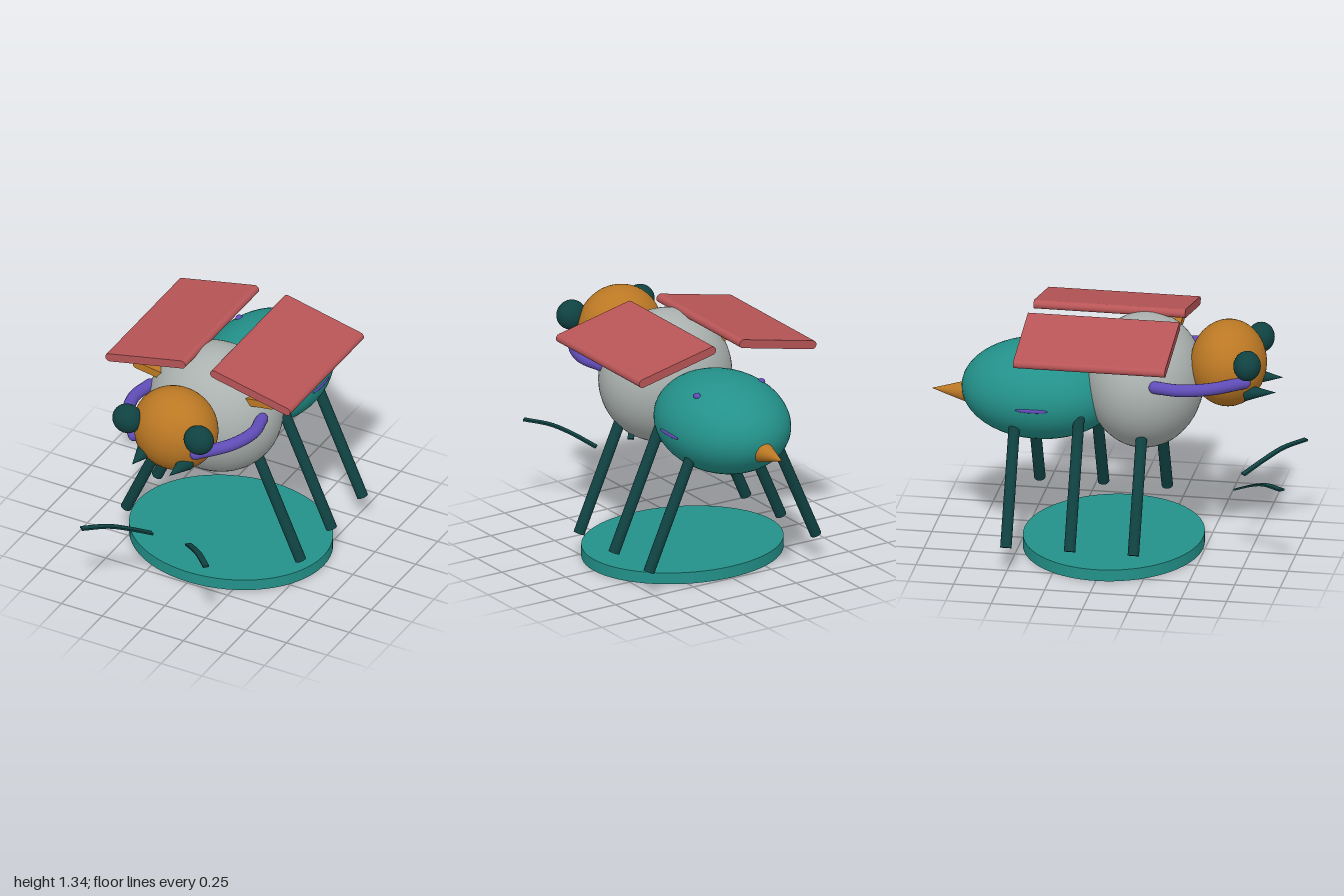
import * as THREE from 'three';

const mat = (name, color) => {
  const m = new THREE.MeshStandardMaterial({ color });
  m.name = name;
  return m;
};

export function createModel() {
  const model = new THREE.Group();
  model.name = 'insect';
  const teal = mat('teal', 0x23918a);
  const dark = mat('darkTeal', 0x104242);
  const orange = mat('orange', 0xbb7824);
  const grey = mat('grey', 0xabb2af);
  const purple = mat('purple', 0x604db8);
  const red = mat('red', 0xb85557);

  const add = (name, geometry, material, pos = [0, 0, 0]) => {
    const mesh = new THREE.Mesh(geometry, material);
    mesh.name = name;
    mesh.position.set(...pos);
    model.add(mesh);
    return mesh;
  };
  const ellipsoid = (name, material, pos, radii, seg = 40) =>
    add(name, new THREE.SphereGeometry(1, seg, seg / 2), material, pos).scale.set(...radii);

  // Cylinder or cone running from a to b
  const rod = (name, material, a, b, ra, rb) => {
    const A = new THREE.Vector3(...a), B = new THREE.Vector3(...b);
    const dir = B.clone().sub(A);
    const mesh = add(name, new THREE.CylinderGeometry(rb, ra, dir.length(), 24), material,
      A.clone().add(B).multiplyScalar(0.5).toArray());
    mesh.quaternion.setFromUnitVectors(new THREE.Vector3(0, 1, 0), dir.normalize());
  };

  // Plate with rounded long edges: a capsule outline from a to b in x/y, extruded over z
  const plate = (name, material, a, b, r, z0, z1) => {
    const angle = Math.atan2(b[1] - a[1], b[0] - a[0]);
    const shape = new THREE.Shape();
    shape.absarc(b[0], b[1], r, angle - Math.PI / 2, angle + Math.PI / 2, false);
    shape.absarc(a[0], a[1], r, angle + Math.PI / 2, angle + Math.PI * 1.5, false);
    shape.closePath();
    add(name, new THREE.ExtrudeGeometry(shape, { depth: z1 - z0, bevelEnabled: false, curveSegments: 10 }),
      material, [0, 0, z0]);
  };

  // Thin ribbon bent along a curve
  const ribbon = (name, material, points, width, thickness) => {
    const curve = new THREE.CatmullRomCurve3(points.map(p => new THREE.Vector3(...p)));
    const g = new THREE.BoxGeometry(width, thickness, 1, 1, 1, 20);
    const p = g.attributes.position;
    const up = new THREE.Vector3(0, 1, 0);
    for (let i = 0; i < p.count; i++) {
      const t = p.getZ(i) + 0.5;
      const tangent = curve.getTangent(t);
      const side = up.clone().cross(tangent).normalize();
      const normal = tangent.clone().cross(side);
      const v = curve.getPoint(t).addScaledVector(side, p.getX(i)).addScaledVector(normal, p.getY(i));
      p.setXYZ(i, v.x, v.y, v.z);
    }
    g.computeVertexNormals();
    add(name, g, material);
  };

  // Oval base
  add('base', new THREE.CylinderGeometry(1, 1, 0.065, 64), teal, [0, 0.0325, 0]).scale.set(0.57, 1, 0.49);

  // Body
  ellipsoid('thorax', grey, [0, 0.965, 0.173], [0.38, 0.37, 0.318], 56);
  ellipsoid('abdomen', teal, [0, 0.878, -0.4], [0.345, 0.268, 0.433], 56);
  ellipsoid('head', orange, [0, 1.092, 0.63], [0.24, 0.237, 0.207], 48);
  rod('stinger', orange, [0, 0.83, -0.79], [0, 0.835, -1], 0.064, 0);

  for (const [s, side] of [[1, 'left'], [-1, 'right']]) {
    ellipsoid(side + 'Eye', dark, [s * 0.22, 1.165, 0.77], [0.084, 0.082, 0.074]);
    rod(side + 'Mandible', dark, [s * 0.125, 0.973, 0.74], [s * 0.115, 0.98, 0.91], 0.048, 0);

    // Curved arm joining thorax and head
    const arm = [[0.345, 0.285], [0.367, 0.42], [0.32, 0.58], [0.19, 0.75]]
      .map(([x, z]) => new THREE.Vector3(s * x, 1.055, z));
    add(side + 'Arm', new THREE.TubeGeometry(new THREE.CatmullRomCurve3(arm), 32, 0.034, 16), purple);
    for (const end of [arm[0], arm[3]])
      ellipsoid(side + 'ArmEnd', purple, end.toArray(), [0.034, 0.034, 0.034], 20);

    // Wings and their brackets
    plate(side + 'Wing', red, [s * 0.1, 1.321], [s * 0.546, 1.223], 0.024, -0.455, 0.378);
    plate(side + 'WingBracket', orange, [s * 0.22, 1.15], [s * 0.413, 1.18], 0.022, 0.04, 0.315);

    // Three splayed legs
    for (const z of [0.2, -0.15, -0.5])
      rod(side + 'Leg', dark, [s * 0.537, 0.146, z], [s * 0.222, 0.857, z], 0.031, 0.031);

    // Low feelers
    ribbon(side + 'Feeler', dark,
      [[s * 0.385, 0.522, 0.99], [s * 0.28, 0.505, 0.88], [s * 0.2, 0.465, 0.795], [s * 0.11, 0.402, 0.69]],
      0.034, 0.01);

    // Small abdomen markings
    ellipsoid(side + 'SideMark', purple, [s * 0.338, 0.87, -0.395], [0.012, 0.013, 0.09], 16);
    ellipsoid(side + 'BackMark', purple, [s * 0.207, 1.087, -0.47], [0.02, 0.017, 0.022], 16);
  }
  return model;
}
